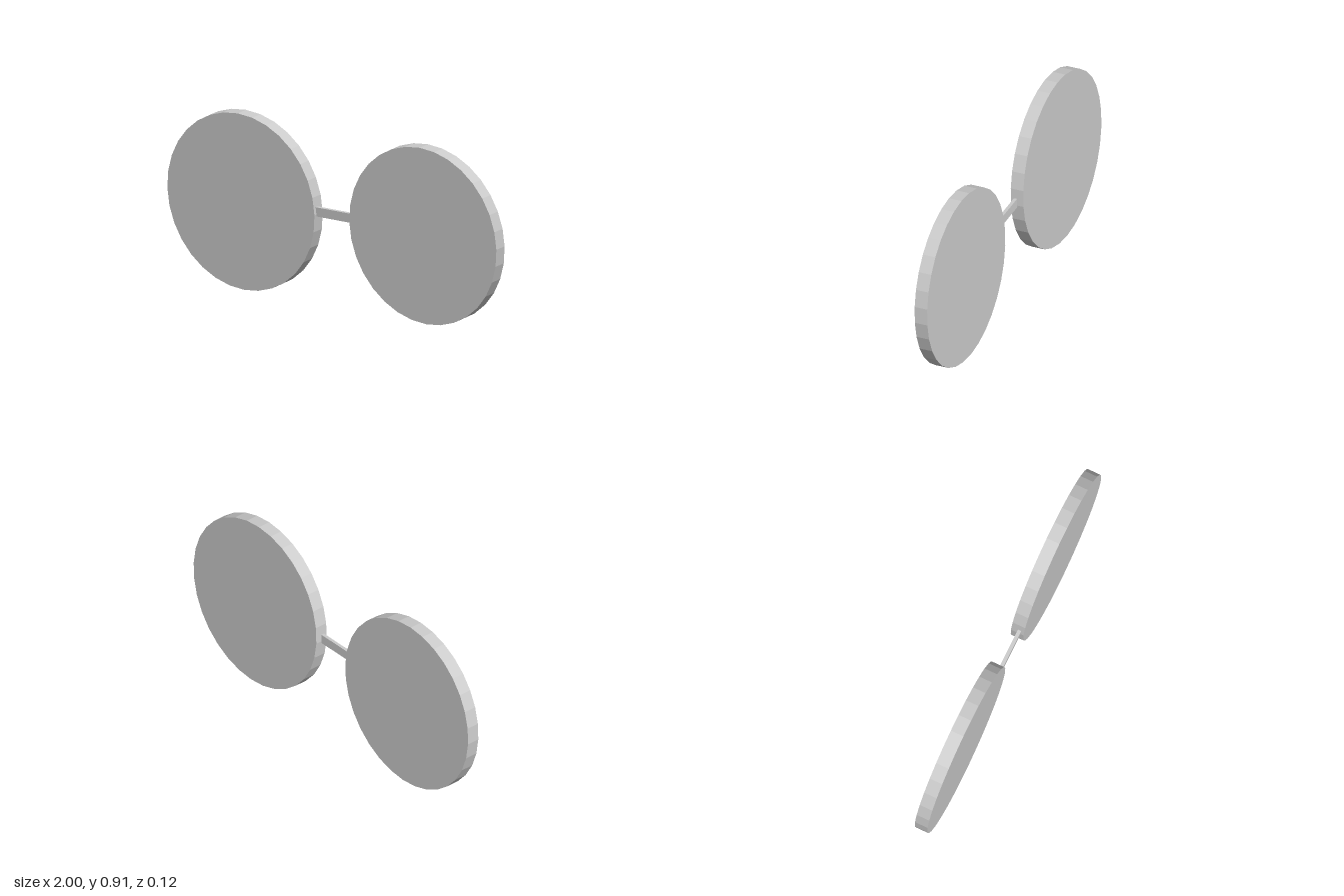
import * as THREE from 'three';

export function createModel() {
  const model = new THREE.Group();
  const material = new THREE.MeshStandardMaterial({ color: 0xcccccc, flatShading: true });

  // Everything leans slightly forward at the top
  const frame = new THREE.Group();
  frame.name = 'spectacles';
  frame.position.y = 0.454;
  frame.rotation.x = 0.057;
  model.add(frame);

  // Thick, slightly taller than wide round lenses
  const lensGeometry = new THREE.CylinderGeometry(0.447, 0.447, 0.068, 32);
  lensGeometry.rotateX(Math.PI / 2);
  lensGeometry.scale(1, 0.4525 / 0.447, 1);
  for (const [name, side] of [['leftLens', 1], ['rightLens', -1]]) {
    const lens = new THREE.Mesh(lensGeometry, material);
    lens.name = name;
    lens.position.x = side * 0.553;
    frame.add(lens);
  }

  // Thin bar joining the lenses
  const bridge = new THREE.Mesh(new THREE.BoxGeometry(0.224, 0.047, 0.017), material);
  bridge.name = 'bridge';
  bridge.position.set(0, 0.014, 0.009);
  frame.add(bridge);

  return model;
}
